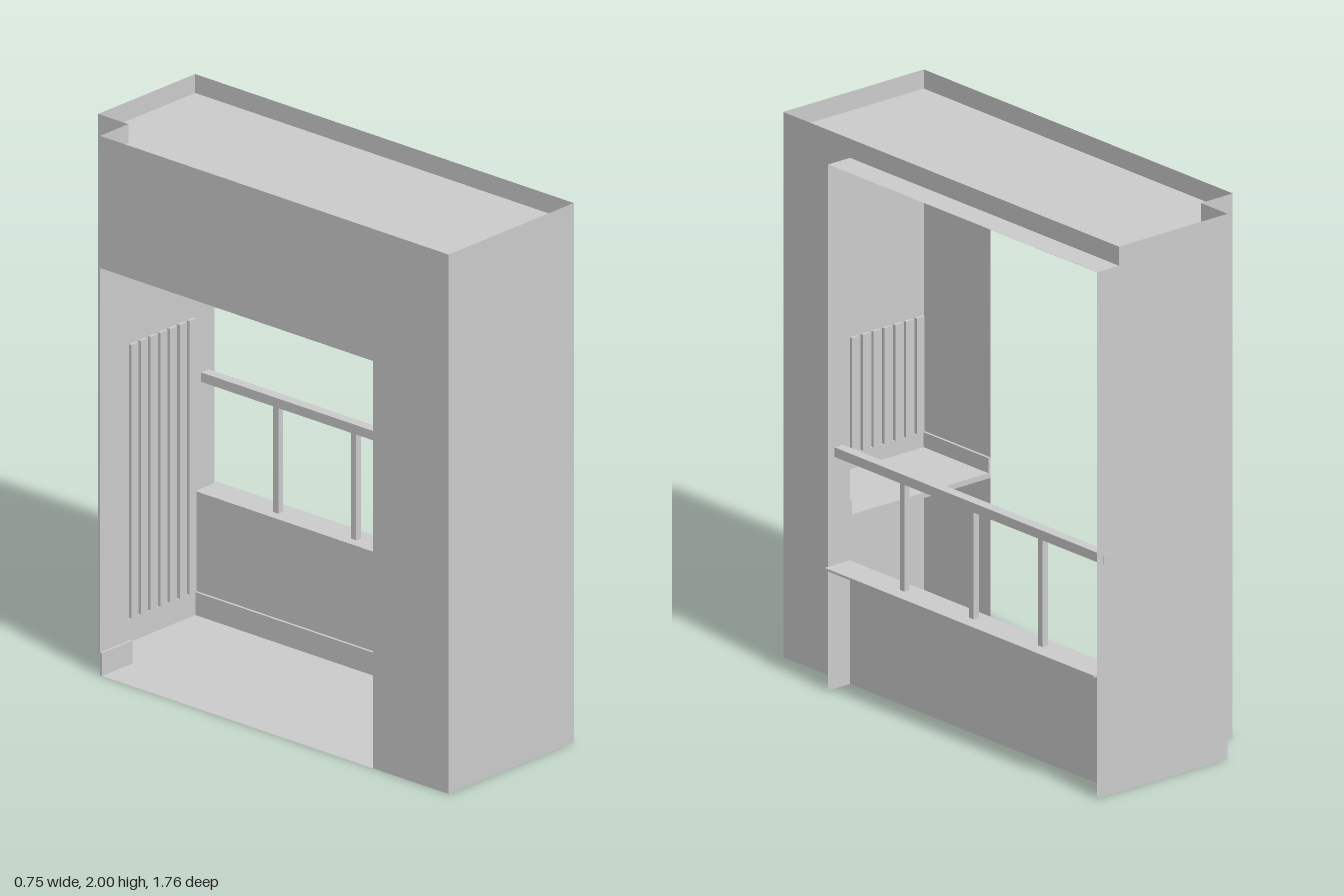
import * as THREE from 'three';

const grey = new THREE.MeshStandardMaterial({ color: 0xcccccc, side: THREE.DoubleSide, flatShading: true });

// Key lines of the plan
const L = 0.26, OUT = 0.36, R = -0.38, NX = -0.235;   // x: inner wall, bay edge, open side, notch
const F = 0.88, B = -0.88, NZ = -0.74, JAMB = 0.53;   // z: front, back, notch, bay jamb
const ROOF = 1.93, TOP = 2, SILL = 0.45, SHELF = 0.62;

export function createModel() {
  const model = new THREE.Group();
  const add = (parent, name, geo) => {
    const mesh = new THREE.Mesh(geo, grey);
    mesh.name = name;
    parent.add(mesh);
    return mesh;
  };
  const group = (name) => {
    const g = new THREE.Group();
    g.name = name;
    model.add(g);
    return g;
  };
  // Box between two corners
  const box = (parent, name, x0, x1, y0, y1, z0, z1) =>
    add(parent, name, new THREE.BoxGeometry(Math.abs(x1 - x0), y1 - y0, Math.abs(z1 - z0)))
      .position.set((x0 + x1) / 2, (y0 + y1) / 2, (z0 + z1) / 2);
  // Upright sheet between two plan points
  const wall = (parent, name, x0, z0, x1, z1, y0, y1) => {
    const mesh = add(parent, name, new THREE.PlaneGeometry(Math.hypot(x1 - x0, z1 - z0), y1 - y0));
    mesh.position.set((x0 + x1) / 2, (y0 + y1) / 2, (z0 + z1) / 2);
    mesh.rotation.y = Math.atan2(-(z1 - z0), x1 - x0);
  };
  // Level sheet from a plan outline of [x, z] points
  const slab = (parent, name, y, pts) => {
    const shape = new THREE.Shape(pts.map(([x, z]) => new THREE.Vector2(x, -z)));
    add(parent, name, new THREE.ShapeGeometry(shape).rotateX(-Math.PI / 2)).position.y = y;
  };

  // Outer shell
  const shell = group('shell');
  wall(shell, 'frontWall', R, F, L, F, 0, TOP);
  wall(shell, 'frontSideWall', L, F, L, JAMB, 0, TOP);
  wall(shell, 'bayJamb', L, JAMB, OUT, JAMB, 0, ROOF);
  wall(shell, 'bayLowerWall', L, JAMB, L, B, 0, SILL);
  wall(shell, 'bayParapet', L, JAMB, L, B, ROOF, TOP);
  wall(shell, 'backWall', L, B, NX, B, 0, TOP);
  wall(shell, 'backWallWing', OUT, B, L, B, 0, ROOF);
  wall(shell, 'notchSide', NX, B, NX, NZ, 0, TOP);
  wall(shell, 'notchBack', NX, NZ, R, NZ, 0, TOP);
  wall(shell, 'openSideLintel', R, NZ, R, JAMB, 1.51, TOP);
  wall(shell, 'openSidePier', R, JAMB, R, F, 0, TOP);
  slab(shell, 'floor', 0, [[R, F], [L, F], [L, B], [NX, B], [NX, NZ], [R, NZ]]);
  slab(shell, 'roof', ROOF, [[R, F], [L, F], [L, JAMB], [OUT, JAMB], [OUT, B], [NX, B], [NX, NZ], [R, NZ]]);

  // Sill and railing of the bay
  const railing = group('railing');
  box(railing, 'sill', L, 0.375, SILL - 0.004, SILL + 0.004, B, JAMB);
  box(railing, 'handrail', 0.29, 0.33, 0.85, 0.885, B - 0.003, JAMB);
  for (const z of [0.185, -0.178, -0.54])
    box(railing, 'railPost', 0.298, 0.322, SILL, 0.85, z - 0.012, z + 0.012);

  // Shelf in the front alcove
  box(model, 'shelf', R, L, SHELF - 0.02, SHELF, JAMB, F);

  // Skirting along the floor and above the shelf
  const skirting = group('skirting');
  const t = 0.01, h = 0.085;
  box(skirting, 'floorSkirtingSide', L - t, L, 0, h, B, F);
  box(skirting, 'floorSkirtingFront', R, L, 0, h, F - t, F);
  box(skirting, 'floorSkirtingBack', NX, L, 0, h, B, B + t);
  box(skirting, 'floorSkirtingNotchSide', NX, NX + t, 0, h, B, NZ);
  box(skirting, 'floorSkirtingNotchBack', R, NX + t, 0, h, NZ, NZ + t);
  box(skirting, 'floorSkirtingPier', R, R + t, 0, h, JAMB, F);
  box(skirting, 'shelfSkirtingSide', L - t, L, SHELF, SHELF + 0.055, JAMB, F);
  box(skirting, 'shelfSkirtingFront', R, L, SHELF, SHELF + 0.055, F - t, F);
  box(skirting, 'shelfSkirtingPier', R, R + t, SHELF, SHELF + 0.055, JAMB, F);

  // Slatted panelling on the front and back walls
  const slats = (name, x0, x1, y0, z0, z1) => {
    const g = group(name);
    const n = Math.round((x1 - x0) / 0.05), pitch = (x1 - x0) / n;
    for (let i = 0; i < n; i++) {
      const x = x0 + (i + 0.5) * pitch;
      box(g, 'slat', x - pitch * 0.35, x + pitch * 0.35, y0, 1.1, z0, z1);
    }
  };
  slats('frontSlats', R, L, SHELF + 0.055, F - 0.012, F);
  slats('backSlats', NX, L, h, B, B + 0.012);

  // Ceiling light
  box(model, 'ceilingLight', -0.01, 0.165, 1.895, ROOF, -0.185, -0.01);

  return model;
}
